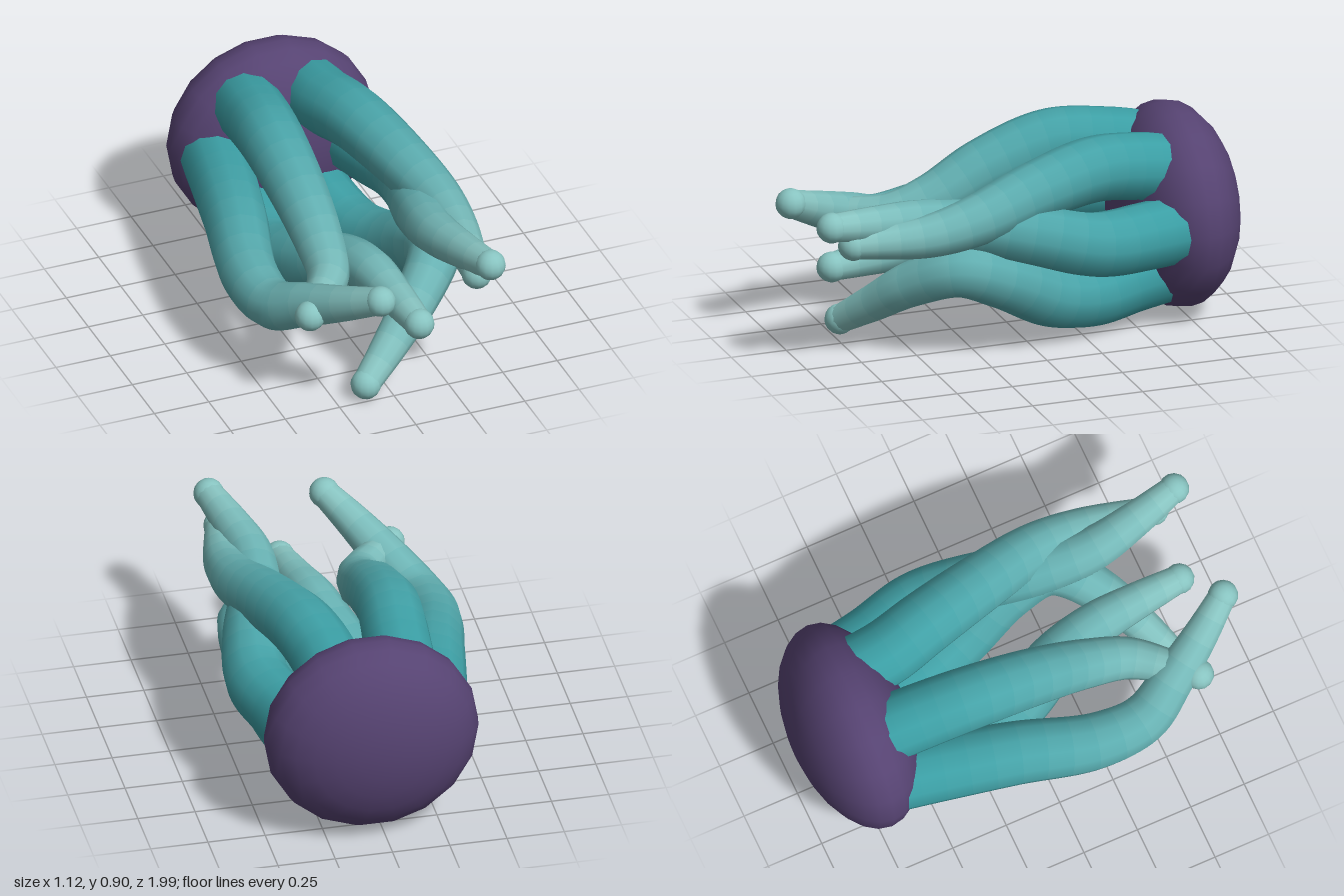
import * as THREE from 'three';

const SIDES = 12, STEPS = 64, BANDS = 16;
const ROOT_R = 0.148, TIP_R = 0.06;
const ROOT_COLOR = new THREE.Color(0x3a9ea4), TIP_COLOR = new THREE.Color(0x88c4c1);

// Centre lines from root to tip, as [x, y, z]
const ARMS = {
  upperRightArm: [[-0.12, 0.685, -0.68], [-0.135, 0.72, -0.5], [-0.155, 0.742, -0.25], [-0.155, 0.66, 0.05],
    [-0.155, 0.55, 0.28], [-0.185, 0.49, 0.46], [-0.28, 0.475, 0.6], [-0.37, 0.47, 0.71]],
  outerRightArm: [[-0.255, 0.46, -0.68], [-0.29, 0.46, -0.5], [-0.365, 0.45, -0.15], [-0.44, 0.395, 0.2],
    [-0.425, 0.38, 0.43], [-0.34, 0.455, 0.6], [-0.235, 0.54, 0.78], [-0.135, 0.615, 0.93]],
  lowerRightArm: [[-0.115, 0.235, -0.68], [-0.135, 0.205, -0.5], [-0.165, 0.192, -0.25], [-0.1, 0.28, 0],
    [-0.012, 0.38, 0.22], [0.03, 0.425, 0.4], [0.06, 0.41, 0.6], [0.085, 0.39, 0.825]],
  lowerLeftArm: [[0.18, 0.235, -0.68], [0.19, 0.205, -0.5], [0.235, 0.178, -0.3], [0.295, 0.215, -0.1],
    [0.355, 0.34, 0.15], [0.348, 0.4, 0.34], [0.2, 0.31, 0.51], [0.04, 0.185, 0.62], [-0.115, 0.07, 0.715]],
  outerLeftArm: [[0.325, 0.46, -0.68], [0.36, 0.455, -0.5], [0.42, 0.47, -0.25], [0.385, 0.53, 0],
    [0.315, 0.58, 0.25], [0.285, 0.62, 0.5], [0.32, 0.65, 0.72], [0.37, 0.68, 0.93]],
  upperLeftArm: [[0.18, 0.685, -0.68], [0.19, 0.715, -0.5], [0.235, 0.74, -0.3], [0.315, 0.7, 0],
    [0.385, 0.635, 0.28], [0.395, 0.595, 0.5], [0.35, 0.58, 0.825]],
};

// Tapered tube between two steps of a curve; bands share ring normals so they join smoothly
function bandGeometry(curve, frames, from, to) {
  const pos = [], nor = [], index = [];
  for (let i = from; i <= to; i++) {
    const t = i / STEPS, c = curve.getPointAt(t);
    const r = THREE.MathUtils.lerp(ROOT_R, TIP_R, Math.pow(t, 1.9));
    for (let j = 0; j <= SIDES; j++) {
      const a = (j / SIDES) * Math.PI * 2;
      const n = frames.normals[i].clone().multiplyScalar(Math.cos(a))
        .addScaledVector(frames.binormals[i], Math.sin(a));
      nor.push(n.x, n.y, n.z);
      pos.push(c.x + n.x * r, c.y + n.y * r, c.z + n.z * r);
    }
  }
  const w = SIDES + 1;
  for (let i = 0; i < to - from; i++) {
    for (let j = 0; j < SIDES; j++) {
      const a = i * w + j, b = a + 1, c = a + w, d = c + 1;
      index.push(a, b, c, b, d, c);
    }
  }
  const g = new THREE.BufferGeometry();
  g.setAttribute('position', new THREE.Float32BufferAttribute(pos, 3));
  g.setAttribute('normal', new THREE.Float32BufferAttribute(nor, 3));
  g.setIndex(index);
  return g;
}

function makeArm(name, points) {
  const arm = new THREE.Group();
  arm.name = name;
  const curve = new THREE.CatmullRomCurve3(points.map((p) => new THREE.Vector3(...p)));
  const frames = curve.computeFrenetFrames(STEPS, false);
  // Bands grow paler toward the tip
  for (let k = 0; k < BANDS; k++) {
    const color = ROOT_COLOR.clone().lerp(TIP_COLOR, Math.pow(k / (BANDS - 1), 1.9));
    const geo = bandGeometry(curve, frames, (k * STEPS) / BANDS, ((k + 1) * STEPS) / BANDS);
    const band = new THREE.Mesh(geo, new THREE.MeshStandardMaterial({ color, side: THREE.DoubleSide }));
    band.name = 'armBand';
    arm.add(band);
  }
  // Rounded tip
  const tip = new THREE.Mesh(new THREE.SphereGeometry(0.066, 14, 10),
    new THREE.MeshStandardMaterial({ color: TIP_COLOR }));
  tip.name = 'armTip';
  tip.position.set(...points[points.length - 1]);
  arm.add(tip);
  return arm;
}

export function createModel() {
  const model = new THREE.Group();
  model.name = 'tentacleCluster';

  // Flattened body with its poles along z
  const geo = new THREE.SphereGeometry(1, 18, 14);
  geo.rotateX(Math.PI / 2);
  geo.scale(0.467, 0.448, 0.26);
  const body = new THREE.Mesh(geo, new THREE.MeshStandardMaterial({ color: 0x564372 }));
  body.name = 'body';
  body.position.set(0.035, 0.462, -0.74);
  model.add(body);

  for (const [name, points] of Object.entries(ARMS)) model.add(makeArm(name, points));
  return model;
}
